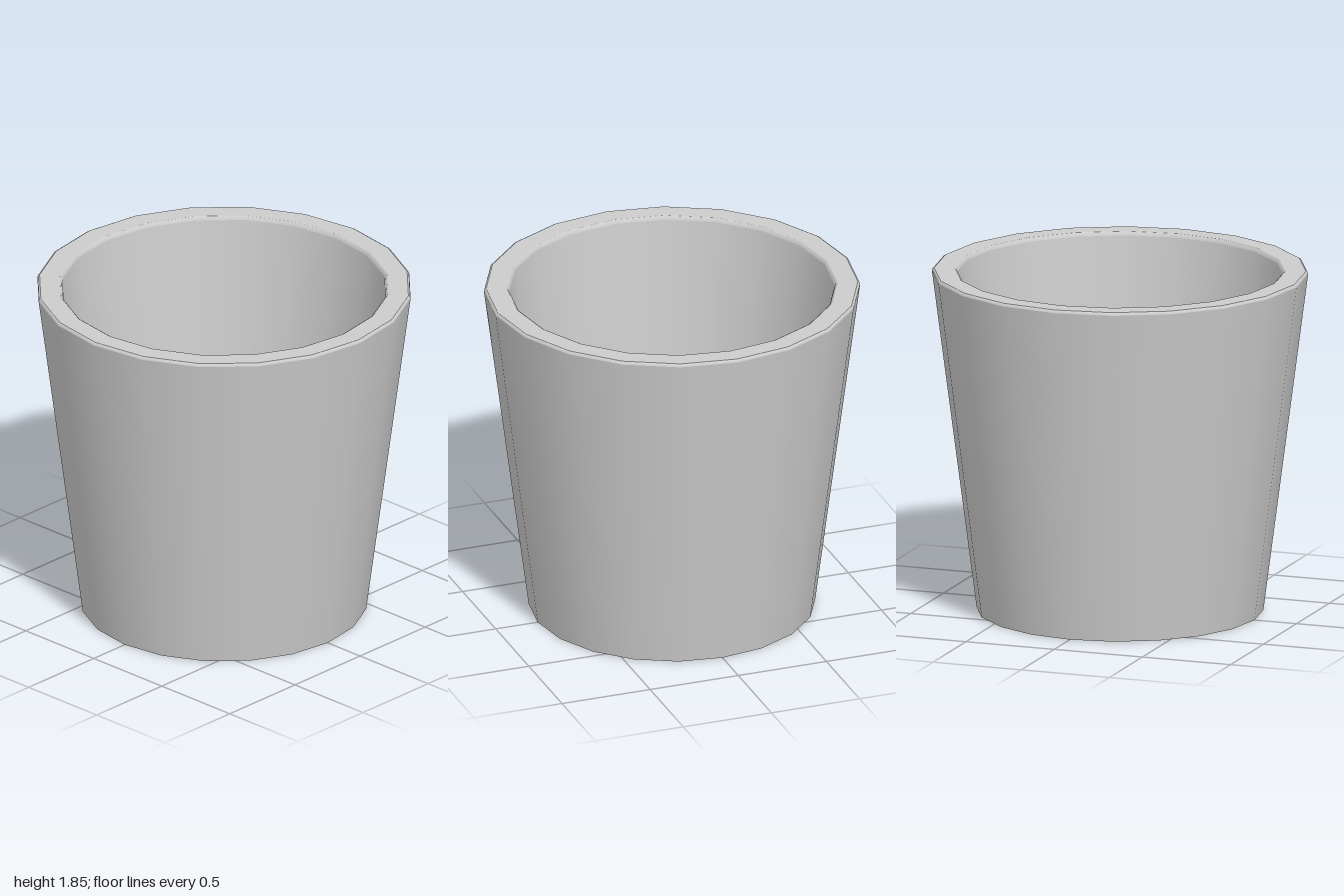
import * as THREE from 'three';

const SIDES = 20;

export function createModel() {
  const group = new THREE.Group();
  group.name = 'cup';
  const material = new THREE.MeshStandardMaterial({ color: 0xcccccc, side: THREE.DoubleSide });

  // One revolved surface; separate pieces keep the edges between them crisp
  const revolve = (name, profile) => {
    const points = profile.map(([r, y]) => new THREE.Vector2(r, y));
    const mesh = new THREE.Mesh(new THREE.LatheGeometry(points, SIDES), material);
    mesh.name = name;
    group.add(mesh);
  };

  // Tapered outer wall, open underneath
  revolve('outerWall', [[0.762, 0], [1, 1.835]]);

  // Flat rim with a small bevel on both edges
  revolve('rimOuterBevel', [[1, 1.835], [0.997, 1.845], [0.988, 1.85]]);
  revolve('rim', [[0.988, 1.85], [0.88, 1.85]]);
  revolve('rimInnerBevel', [[0.88, 1.85], [0.871, 1.845], [0.865, 1.83]]);

  // Inner cup, separated from the outer wall by a hollow gap
  revolve('innerWall', [[0.865, 1.83], [0.638, 0.004]]);
  revolve('floor', [[0.638, 0.004], [0, 0.004]]);

  return group;
}
